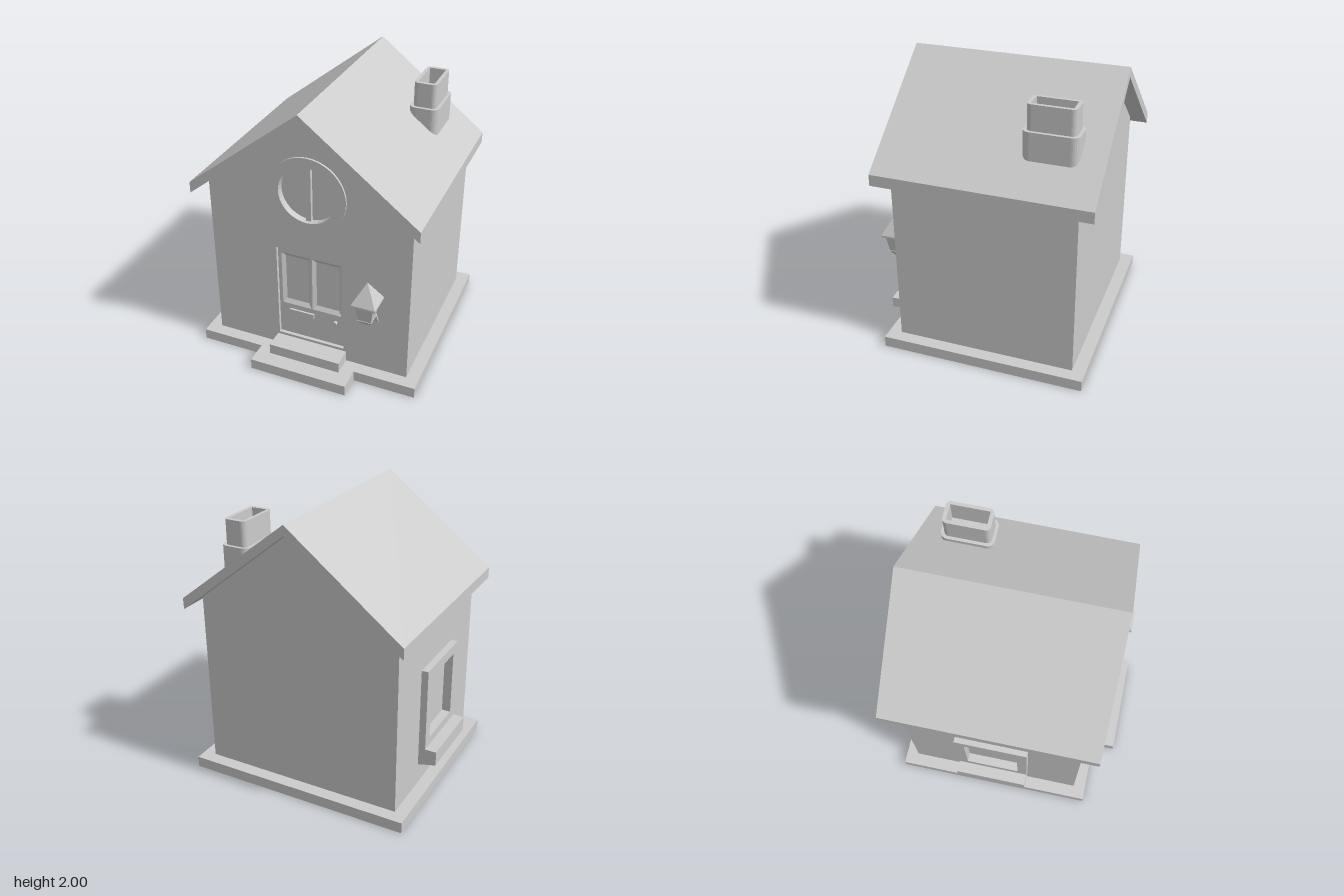
import * as THREE from 'three';

const material = new THREE.MeshStandardMaterial({ color: 0xcccccc, flatShading: true, side: THREE.DoubleSide });

function add(parent, name, geometry, x = 0, y = 0, z = 0) {
  const mesh = new THREE.Mesh(geometry, material);
  mesh.name = name;
  mesh.position.set(x, y, z);
  parent.add(mesh);
  return mesh;
}

function box(parent, name, x0, x1, y0, y1, z0, z1) {
  return add(parent, name, new THREE.BoxGeometry(x1 - x0, y1 - y0, z1 - z0),
    (x0 + x1) / 2, (y0 + y1) / 2, (z0 + z1) / 2);
}

const polygon = (points) => new THREE.Shape(points.map(([x, y]) => new THREE.Vector2(x, y)));
const rect = (x0, x1, y0, y1) => polygon([[x0, y0], [x1, y0], [x1, y1], [x0, y1]]);
const disc = (x, y, r) => new THREE.Shape().absarc(x, y, r, 0, Math.PI * 2, false);

function extrude(shape, depth, holes = [], curveSegments = 20) {
  shape.holes = holes;
  return new THREE.ExtrudeGeometry(shape, { depth, bevelEnabled: false, curveSegments });
}

// Rectangular frustum: bottom w0 x d0, top w1 x d1, standing on y = 0
function frustum(w0, d0, w1, d1, h) {
  const geometry = new THREE.BoxGeometry(1, h, 1).translate(0, h / 2, 0);
  const p = geometry.attributes.position;
  for (let i = 0; i < p.count; i++) {
    const top = p.getY(i) > h / 2;
    p.setX(i, p.getX(i) * (top ? w1 : w0));
    p.setZ(i, p.getZ(i) * (top ? d1 : d0));
  }
  geometry.computeVertexNormals();
  return geometry;
}

function roundedRect(w, d, r) {
  const s = new THREE.Shape(), x = w / 2, y = d / 2;
  s.absarc(x - r, y - r, r, 0, Math.PI / 2);
  s.absarc(-x + r, y - r, r, Math.PI / 2, Math.PI);
  s.absarc(-x + r, -y + r, r, Math.PI, Math.PI * 1.5);
  s.absarc(x - r, -y + r, r, Math.PI * 1.5, Math.PI * 2);
  return s;
}

// House extents
const L = -0.715, R = 0.75, BACK = -0.705, FRONT = 0.565, MID = 0.015;
const FLOOR = 0.08, EAVE = 1.345, T = 0.025;
const roofY = (x) => 2 - Math.abs(x - MID) * 0.787;
const gable = () => polygon([[L, FLOOR], [R, FLOOR], [R, EAVE], [MID, 1.935], [L, EAVE]]);

function buildBase(house) {
  // Ring with a front landing, open under the rooms (shape y is -z)
  const outline = polygon([[-0.805, 0.795], [-0.805, -0.655], [-0.335, -0.655], [-0.335, -0.82],
    [0.39, -0.82], [0.39, -0.655], [0.84, -0.655], [0.84, 0.795]]);
  const ring = extrude(outline, FLOOR, [rect(L, R, -FRONT, -BACK)]);
  add(house, 'base', ring.rotateX(-Math.PI / 2));
  box(house, 'doorStep', -0.24, 0.295, FLOOR, 0.16, FRONT - T, 0.705);
}

function buildWalls(house) {
  add(house, 'frontWall', extrude(gable(), T, [rect(-0.225, 0.275, 0.18, 0.92), disc(0.02, 1.385, 0.24)]),
    0, 0, FRONT - T);
  add(house, 'backWall', extrude(gable(), T), 0, 0, BACK);
  box(house, 'rightWall', R - T, R, FLOOR, EAVE, BACK, FRONT);
  // Local x runs along z, local z points outwards
  const wall = extrude(rect(BACK, FRONT, FLOOR, EAVE), T, [rect(-0.265, 0.12, 0.43, 0.9)]);
  add(house, 'windowWall', wall, L + T).rotation.y = -Math.PI / 2;
}

function buildRoof(house) {
  const profile = polygon([[-0.795, 1.285], [MID, 1.93], [0.825, 1.285], [0.825, 1.365], [MID, 2], [-0.795, 1.365]]);
  add(house, 'roof', extrude(profile, 1.5), 0, 0, -0.82);
}

function buildChimney(house) {
  const chimney = new THREE.Group();
  chimney.name = 'chimney';
  house.add(chimney);
  // Lower block cut to the roof slope
  const lower = extrude(roundedRect(0.21, 0.37, 0.05), 0.2, [], 3).rotateX(-Math.PI / 2).translate(0.51, 1.525, -0.467);
  const p = lower.attributes.position;
  for (let i = 0; i < p.count; i++) {
    if (p.getY(i) < 1.6) p.setY(i, roofY(p.getX(i)) - 0.02);
  }
  add(chimney, 'chimneyBase', lower);
  const upper = extrude(roundedRect(0.165, 0.325, 0.035), 0.175, [rect(-0.058, 0.058, -0.135, 0.135)], 3);
  add(chimney, 'chimneyTop', upper.rotateX(-Math.PI / 2), 0.51, 1.725, -0.467);
}

function buildRoundWindow(house) {
  add(house, 'roundWindowFrame', extrude(disc(0.02, 1.385, 0.275), 0.055, [disc(0.02, 1.385, 0.205)]), 0, 0, 0.525);
  add(house, 'roundWindowPane', new THREE.CircleGeometry(0.21, 20), 0.02, 1.385, 0.528);
  box(house, 'roundWindowBar', 0, 0.038, 1.182, 1.588, 0.525, 0.555);
}

function buildDoor(house) {
  const door = new THREE.Group();
  door.name = 'door';
  house.add(door);
  const z = FRONT - T;
  const centres = [-0.09, 0.14];
  const leaf = rect(-0.225, 0.275, 0.18, 0.92);
  leaf.holes = centres.map((x) => rect(x - 0.11, x + 0.11, 0.44, 0.87));
  add(door, 'doorLeaf', new THREE.ShapeGeometry(leaf), 0, 0, z);
  for (const x of centres) {
    // Sunken panel with sloping edges, open to the front
    const panel = frustum(0.17, 0.37, 0.22, 0.43, 0.02).rotateX(Math.PI / 2);
    const index = Array.from(panel.index.array);
    index.splice(12, 6);
    panel.setIndex(index);
    add(door, 'doorPanel', panel, x, 0.655, z - 0.02);
  }
  box(door, 'letterSlot', -0.145, 0.042, 0.365, 0.402, z, z + 0.015);
  add(door, 'doorKnob', new THREE.CylinderGeometry(0.018, 0.012, 0.03, 12).rotateX(Math.PI / 2), 0.208, 0.38, z + 0.015);
}

function buildSideWindow(house) {
  const window = new THREE.Group();
  window.name = 'sideWindow';
  window.position.x = L;
  window.rotation.y = -Math.PI / 2;
  house.add(window);
  add(window, 'windowFrame', extrude(rect(-0.335, 0.19, 0.36, 0.97), 0.048, [rect(-0.265, 0.12, 0.43, 0.9)]));
  add(window, 'windowPane', new THREE.PlaneGeometry(0.385, 0.47), -0.0725, 0.665, -0.015);
  // Sill with a sloping underside
  const sill = extrude(polygon([[0, 0.235], [0.13, 0.265], [0.13, 0.37], [0, 0.37]]), 0.525);
  add(window, 'windowSill', sill.rotateY(-Math.PI / 2), 0.19);
}

function buildLamp(house) {
  const lamp = new THREE.Group();
  lamp.name = 'lamp';
  lamp.position.set(0.49, 0, 0.68);
  house.add(lamp);
  add(lamp, 'lampRoof', frustum(0.17, 0.17, 0.002, 0.002, 0.15), 0, 0.75);
  add(lamp, 'lampRim', frustum(0.17, 0.17, 0.17, 0.17, 0.015), 0, 0.735);
  add(lamp, 'lampGlass', frustum(0.09, 0.09, 0.13, 0.13, 0.125), 0, 0.61);
  add(lamp, 'lampFoot', frustum(0.05, 0.03, 0.1, 0.1, 0.047), 0, 0.565);
  const arm = extrude(polygon([[-0.12, 0.565], [0, 0.565], [0.03, 0.6], [-0.12, 0.6]]), 0.05);
  add(lamp, 'lampArm', arm.rotateY(-Math.PI / 2), 0.025);
  add(lamp, 'lampBracket', frustum(0.09, 0.01, 0.05, 0.03, 0.07), 0, 0.51, -0.112);
}

export function createModel() {
  const house = new THREE.Group();
  house.name = 'house';
  buildBase(house);
  buildWalls(house);
  buildRoof(house);
  buildChimney(house);
  buildRoundWindow(house);
  buildDoor(house);
  buildSideWindow(house);
  buildLamp(house);
  return house;
}
